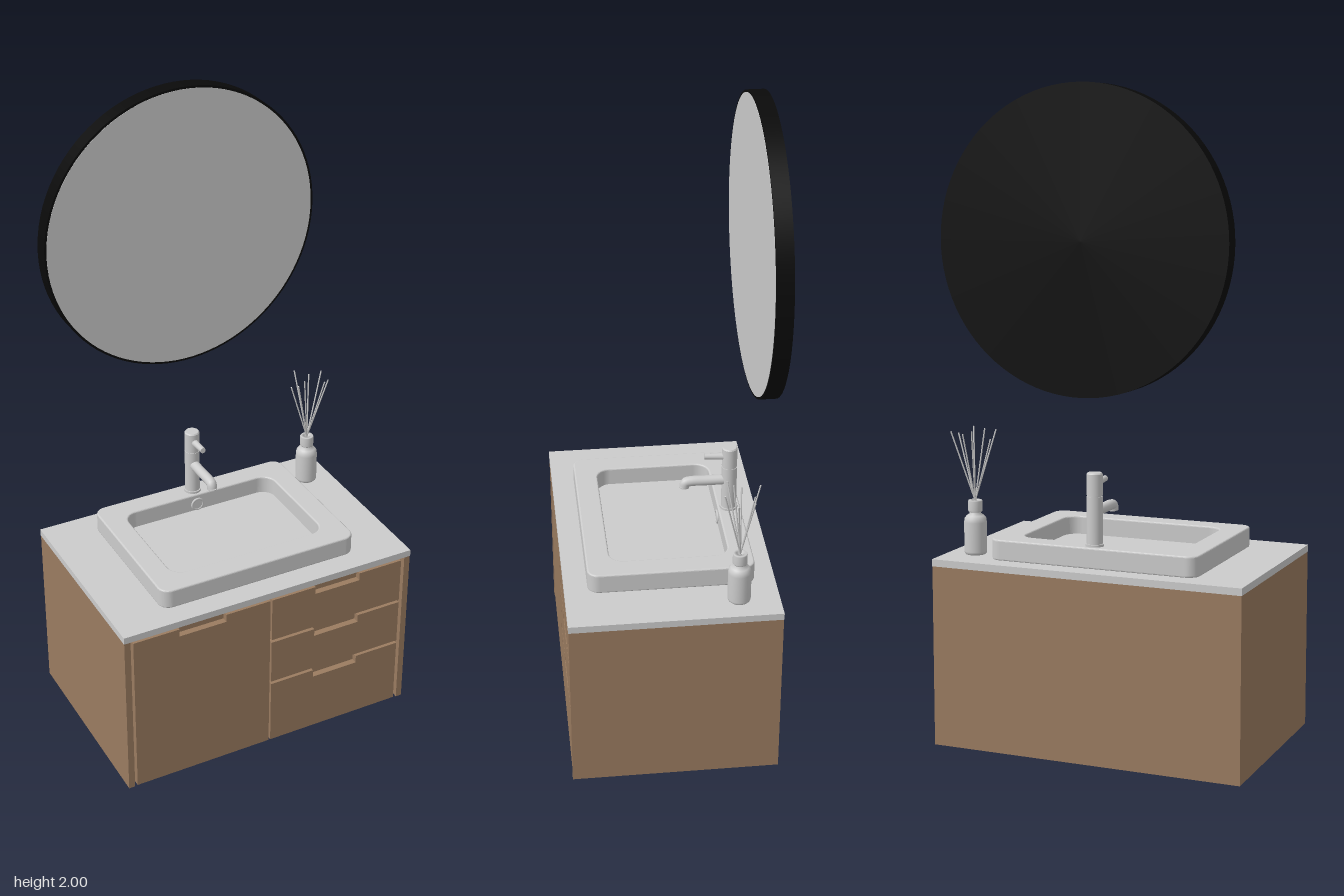
import * as THREE from 'three';

export function createModel() {
  const root = new THREE.Group();
  root.name = 'vanityUnit';
  const mat = (name, color) => {
    const m = new THREE.MeshStandardMaterial({ color });
    m.name = name;
    return m;
  };
  const wood = mat('wood', 0x9a7b60);
  const ceramic = mat('paleGrey', 0xcccccc);
  const black = mat('blackFrame', 0x0a0a0a);

  const add = (name, geo, m, x = 0, y = 0, z = 0, parent = root) => {
    const mesh = new THREE.Mesh(geo, m);
    mesh.name = name;
    mesh.position.set(x, y, z);
    parent.add(mesh);
    return mesh;
  };
  // box given by its limits
  const box = (name, m, x0, x1, y0, y1, z0, z1) =>
    add(name, new THREE.BoxGeometry(x1 - x0, y1 - y0, z1 - z0), m,
      (x0 + x1) / 2, (y0 + y1) / 2, (z0 + z1) / 2);
  // cylinder running between two points
  const rod = (name, a, b, r0, r1, sides, parent) => {
    const dir = b.clone().sub(a);
    const mesh = add(name, new THREE.CylinderGeometry(r1, r0, dir.length(), sides), ceramic, 0, 0, 0, parent);
    mesh.position.copy(a).add(b).multiplyScalar(0.5);
    mesh.quaternion.setFromUnitVectors(new THREE.Vector3(0, 1, 0), dir.normalize());
    return mesh;
  };
  const V = (x, y, z) => new THREE.Vector3(x, y, z);

  // Cabinet carcass, side panels and countertop
  box('carcass', wood, -0.475, 0.475, 0, 0.56, -0.32, 0.298);
  for (const s of [-1, 1]) {
    const x = s * 0.485;
    box(s < 0 ? 'rightSidePanel' : 'leftSidePanel', wood, x - 0.01, x + 0.01, 0, 0.56, -0.32, 0.32);
  }
  box('countertop', ceramic, -0.496, 0.496, 0.56, 0.582, -0.321, 0.321);

  // Door and drawer fronts with a finger notch in the top edge
  const front = (name, x0, x1, y0, y1) => {
    const c = (x0 + x1) / 2, n = 0.079, d = 0.026;
    const s = new THREE.Shape();
    [[x0, y0], [x1, y0], [x1, y1], [c + n, y1], [c + n, y1 - d], [c - n, y1 - d], [c - n, y1], [x0, y1]]
      .forEach(([x, y], i) => (i ? s.lineTo(x, y) : s.moveTo(x, y)));
    add(name, new THREE.ExtrudeGeometry(s, { depth: 0.02, bevelEnabled: false }), wood, 0, 0, 0.298);
  };
  front('door', -0.465, -0.003, 0, 0.55);
  [[0, 0.225], [0.235, 0.388], [0.398, 0.55]].forEach(([y0, y1], i) =>
    front('drawer' + (i + 1), 0.003, 0.465, y0, y1));

  // Basin: a rounded ring with a thin floor
  const rounded = (path, x0, x1, z0, z1, r) => {
    path.moveTo(x0 + r, -z1);
    path.lineTo(x1 - r, -z1);
    path.absarc(x1 - r, -z1 + r, r, -Math.PI / 2, 0);
    path.lineTo(x1, -z0 - r);
    path.absarc(x1 - r, -z0 - r, r, 0, Math.PI / 2);
    path.lineTo(x0 + r, -z0);
    path.absarc(x0 + r, -z0 - r, r, Math.PI / 2, Math.PI);
    path.lineTo(x0, -z1 + r);
    path.absarc(x0 + r, -z1 + r, r, Math.PI, Math.PI * 1.5);
    return path;
  };
  const ring = rounded(new THREE.Shape(), -0.335, 0.335, -0.259, 0.25, 0.036);
  ring.holes.push(rounded(new THREE.Path(), -0.262, 0.262, -0.187, 0.177, 0.045));
  const b = 0.005;
  const ringGeo = new THREE.ExtrudeGeometry(ring, {
    depth: 0.064 - 2 * b, bevelSize: b, bevelThickness: b, bevelOffset: -b, bevelSegments: 3, curveSegments: 10,
  });
  ringGeo.rotateX(-Math.PI / 2);
  add('basinRim', ringGeo, ceramic, 0, 0.581 + b, 0);
  box('basinFloor', ceramic, -0.28, 0.28, 0.581, 0.587, -0.2, 0.19);
  add('overflowRing', new THREE.TorusGeometry(0.019, 0.004, 8, 28), ceramic, 0, 0.609, -0.186);
  rod('overflowCover', V(0, 0.609, -0.19), V(0, 0.609, -0.184), 0.017, 0.017, 28);

  // Tap
  const tap = new THREE.Group();
  tap.name = 'tap';
  root.add(tap);
  const z = -0.222;
  rod('tapBase', V(0, 0.643, z), V(0, 0.652, z), 0.028, 0.028, 32, tap);
  rod('tapColumn', V(0, 0.65, z), V(0, 0.795, z), 0.024, 0.024, 32, tap);
  rod('tapJoint', V(0, 0.795, z), V(0, 0.799, z), 0.022, 0.022, 32, tap);
  rod('tapHead', V(0, 0.799, z), V(0, 0.862, z), 0.024, 0.024, 32, tap);
  rod('tapCap', V(0, 0.862, z), V(0, 0.866, z), 0.024, 0.021, 32, tap);
  rod('tapLever', V(0, 0.832, z), V(0, 0.836, -0.142), 0.012, 0.009, 20, tap);
  const bend = new THREE.CatmullRomCurve3([
    V(0, 0.748, z), V(0, 0.748, -0.15), V(0, 0.748, -0.1), V(0, 0.744, -0.084), V(0, 0.73, -0.08)]);
  add('tapSpout', new THREE.TubeGeometry(bend, 28, 0.016, 20), ceramic, 0, 0, 0, tap);
  rod('tapNozzle', V(0, 0.728, -0.08), V(0, 0.732, -0.08), 0.016, 0.016, 20, tap);

  // Reed diffuser
  const diffuser = new THREE.Group();
  diffuser.name = 'reedDiffuser';
  diffuser.position.set(0.41, 0.582, -0.197);
  root.add(diffuser);
  const P = (pts) => pts.map(([x, y]) => new THREE.Vector2(x, y));
  add('bottle', new THREE.LatheGeometry(P([
    [0, 0], [0.03, 0], [0.034, 0.004], [0.035, 0.01], [0.035, 0.1], [0.033, 0.112],
    [0.027, 0.12], [0.018, 0.126], [0.017, 0.14]]), 32), ceramic, 0, 0, 0, diffuser);
  add('collar', new THREE.LatheGeometry(P([
    [0.014, 0.132], [0.021, 0.132], [0.022, 0.135], [0.022, 0.165], [0.02, 0.168],
    [0.01, 0.168], [0.01, 0.15], [0, 0.15]]), 32), ceramic, 0, 0, 0, diffuser);
  [[0.065, -0.03, 0.38], [0.064, 0.018, 0.37], [0.03, 0.053, 0.388], [-0.056, 0.035, 0.385],
    [-0.058, -0.008, 0.36], [-0.02, -0.058, 0.388], [0.022, -0.036, 0.375], [-0.025, 0.02, 0.388]]
    .forEach(([x, y, h], i) =>
      rod('reed' + (i + 1), V(-x * 0.12, 0.14, -y * 0.12), V(x, h, y), 0.0023, 0.0023, 6, diffuser));

  // Round wall mirror: black drum with a thin glass disc
  const disc = (name, m, r, z0, z1) => {
    const g = new THREE.CylinderGeometry(r, r, z1 - z0, 96);
    g.rotateX(Math.PI / 2);
    add(name, g, m, 0, 1.55, (z0 + z1) / 2);
  };
  disc('mirrorFrame', black, 0.45, -0.321, -0.27);
  disc('mirrorGlass', ceramic, 0.443, -0.272, -0.269);

  return root;
}
